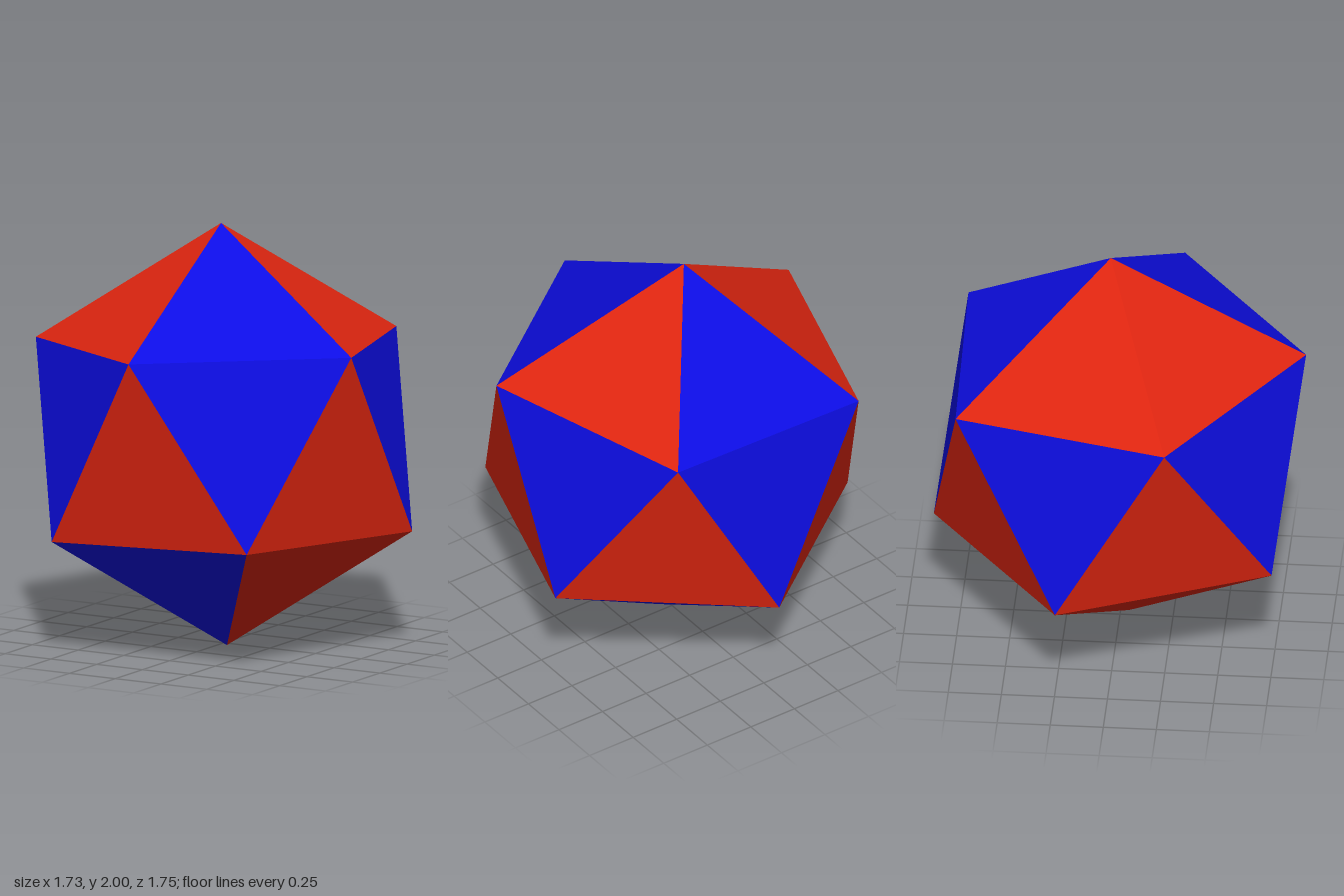
import * as THREE from 'three';

const RADIUS = 1.0016;
const TWIST = 0.02; // turn of the rings about the tilted axis

// Corners of a regular icosahedron: two poles and two staggered rings of five
function corners() {
  const tilt = new THREE.Quaternion().setFromUnitVectors(
    new THREE.Vector3(0, 1, 0),
    new THREE.Vector3(-0.04, 1, -0.04).normalize()
  );
  const place = (x, y, z) =>
    new THREE.Vector3(x, y, z).multiplyScalar(RADIUS).applyQuaternion(tilt).add(new THREE.Vector3(0, 1, 0));
  const h = 1 / Math.sqrt(5);
  const ring = (y, offset) =>
    Array.from({ length: 5 }, (_, i) => {
      const a = TWIST + offset + (i * Math.PI * 2) / 5;
      return place(2 * h * Math.sin(a), y, 2 * h * Math.cos(a));
    });
  return {
    top: place(0, 1, 0),
    bottom: place(0, -1, 0),
    upper: ring(h, 0),
    lower: ring(-h, Math.PI / 5),
  };
}

// Separate triangles, so every face keeps its own flat normal
function facesMesh(name, triangles, material) {
  const geometry = new THREE.BufferGeometry().setFromPoints(triangles.flat());
  geometry.computeVertexNormals();
  const mesh = new THREE.Mesh(geometry, material);
  mesh.name = name;
  return mesh;
}

export function createModel() {
  const red = new THREE.MeshStandardMaterial({ color: 0xde2510 });
  red.name = 'red';
  const blue = new THREE.MeshStandardMaterial({ color: 0x0d0de3 });
  blue.name = 'blue';

  const { top, bottom, upper, lower } = corners();
  const faces = { R: [], B: [] };
  const capColours = 'BRBRR';
  const baseColours = 'RBBRB';

  for (let i = 0; i < 5; i++) {
    const j = (i + 1) % 5;
    faces[capColours[i]].push([top, upper[i], upper[j]]);
    faces.B.push([upper[i], lower[i], upper[j]]); // belt, pointing down
    faces.R.push([upper[j], lower[i], lower[j]]); // belt, pointing up
    faces[baseColours[i]].push([bottom, lower[j], lower[i]]);
  }

  const group = new THREE.Group();
  group.name = 'icosahedron';
  group.add(facesMesh('redFaces', faces.R, red), facesMesh('blueFaces', faces.B, blue));
  return group;
}
